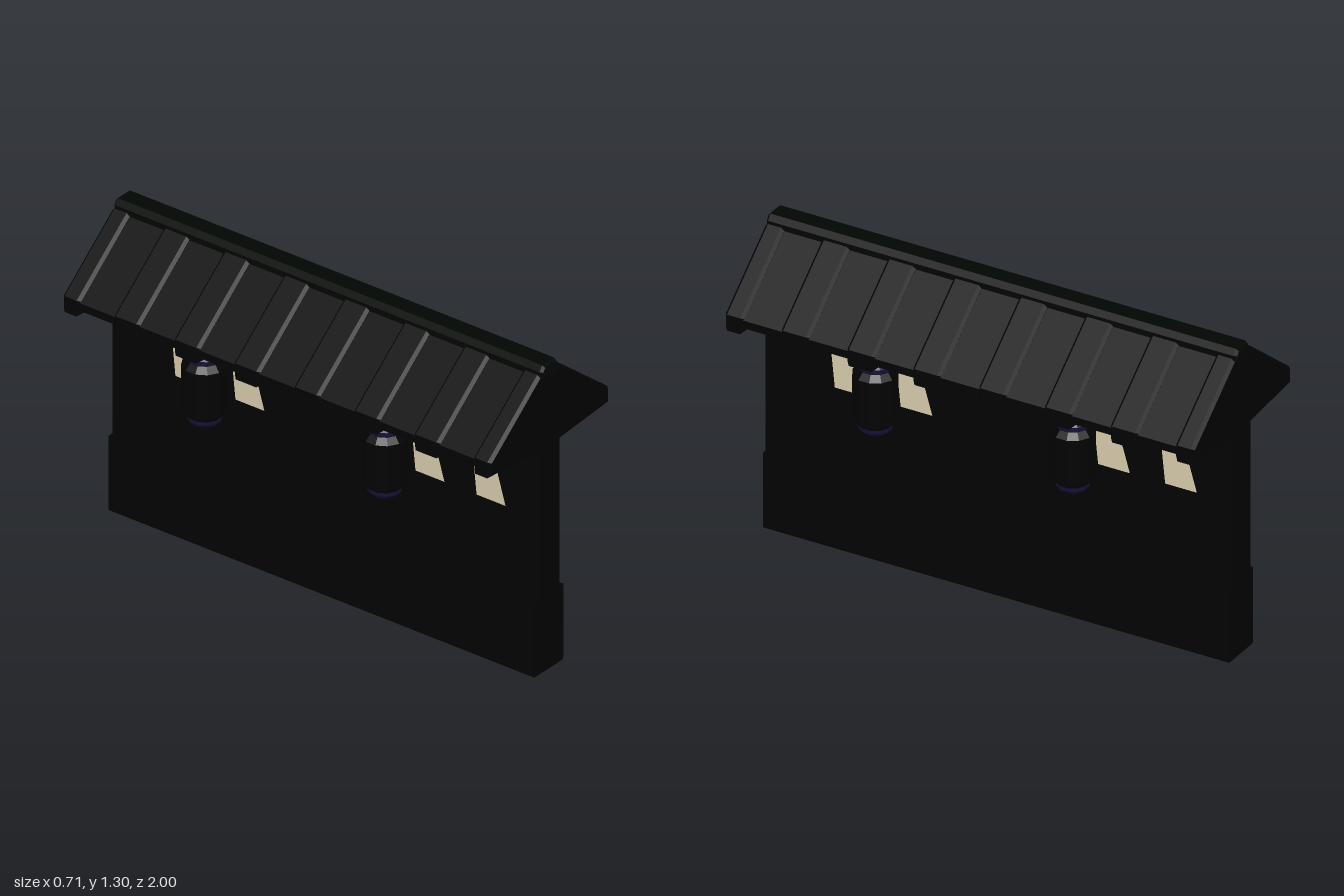
import * as THREE from 'three';

const mat = (color, extra = {}) =>
  Object.assign(new THREE.MeshStandardMaterial({ color, flatShading: true }), extra);

export function createModel() {
  const model = new THREE.Group();
  const black = mat(0x020202), ridgeMat = mat(0x020603);
  const purple = mat(0x170f36), cream = mat(0xdccfb0, { side: THREE.DoubleSide });

  const add = (parent, name, geo, material, x = 0, y = 0, z = 0) => {
    const m = new THREE.Mesh(geo, material);
    m.name = name;
    m.position.set(x, y, z);
    parent.add(m);
    return m;
  };

  // Mirrored cross-section (x, y) pulled along z, centred on z, with chamfered ends
  const extrudeZ = (half, length, bevel) => {
    const pts = [...half, ...half.slice().reverse().map(([x, y]) => [-x, y])];
    const geo = new THREE.ExtrudeGeometry(
      new THREE.Shape(pts.map(([x, y]) => new THREE.Vector2(x, y))),
      { depth: length - 2 * bevel, bevelEnabled: bevel > 0, bevelSize: bevel, bevelOffset: -bevel, bevelThickness: bevel, bevelSegments: 1 });
    return geo.translate(0, 0, bevel - length / 2);
  };

  // Wall and thicker footing
  add(model, 'footing', extrudeZ([[0.083, 0], [0.09, 0.008], [0.09, 0.32]], 1.98, 0), black);
  add(model, 'wall', new THREE.BoxGeometry(0.122, 0.68, 1.99), black, 0, 0.65, 0);

  // Roof slab with raised tile ribs
  const roof = new THREE.Group();
  roof.name = 'roof';
  model.add(roof);
  add(roof, 'roofSlab', extrudeZ(
    [[0.05, 0.97], [0.35, 0.993], [0.35, 1.025], [0.055, 1.258]], 1.98, 0), black);
  const ribProfile = [[0.06, 0.945], [0.357, 0.968], [0.357, 1.035], [0.06, 1.272]];
  for (let i = 0; i < 8; i++) {
    const end = i === 0 || i === 7;
    const z = end ? (i ? -0.958 : 0.958) : 0.98 - 0.28 * i;
    add(roof, 'roofRib', extrudeZ(ribProfile, end ? 0.08 : 0.12, 0.012), black, 0, 0, z);
  }
  add(roof, 'ridge', extrudeZ(
    [[0.05, 1.24], [0.052, 1.28], [0.036, 1.303]], 2, 0.01), ridgeMat);

  // Slanted openings, turned half a circle for the opposite face
  const slot = new THREE.Shape([[-0.73, 0.955], [-0.7, 0.665], [-0.565, 0.665], [-0.65, 0.955]]
    .map(([x, y]) => new THREE.Vector2(x, y)));
  const slotGeo = new THREE.ShapeGeometry(slot).rotateY(Math.PI / 2);
  for (const turn of [0, Math.PI]) {
    const face = new THREE.Group();
    face.name = 'wallOpenings';
    face.rotation.y = turn;
    for (const dz of [0, -0.28, -1.12, -1.405]) add(face, 'opening', slotGeo, cream, 0.0625, 0, dz);
    model.add(face);
  }

  // Hanging lanterns
  const lathe = (pts) =>
    new THREE.LatheGeometry(pts.map(([r, y]) => new THREE.Vector2(r, y)), 12).rotateY(Math.PI / 12);
  const bodyGeo = lathe([[0, -0.118], [0.067, -0.118], [0.088, -0.094], [0.088, 0.094], [0.067, 0.118], [0, 0.118]]);
  const capGeo = lathe([[0, 0], [0.065, 0], [0.065, 0.02], [0.054, 0.034], [0, 0.034]]);
  const hookGeo = new THREE.CylinderGeometry(0.025, 0.025, 0.05, 8);
  for (const x of [-0.245, 0.245]) for (const z of [-0.42, 0.42]) {
    const lantern = new THREE.Group();
    lantern.name = 'lantern';
    lantern.position.set(x, 0.807, z);
    add(lantern, 'lanternBody', bodyGeo, black);
    add(lantern, 'topCap', capGeo, purple, 0, 0.116, 0);
    add(lantern, 'bottomCap', capGeo, purple, 0, -0.114, 0).rotation.x = Math.PI;
    add(lantern, 'hanger', hookGeo, black, 0, 0.168, 0);
    model.add(lantern);
  }
  return model;
}
